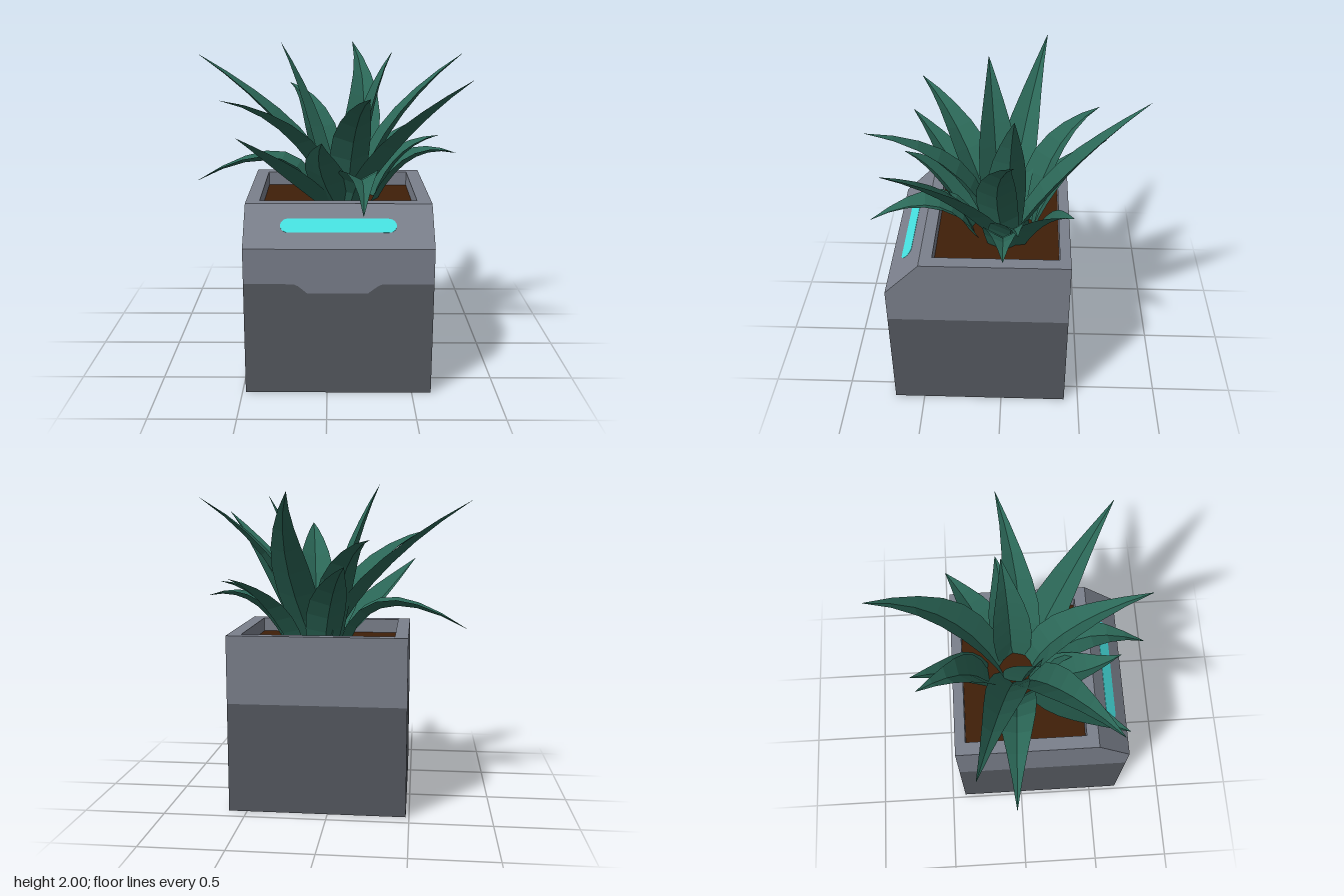
import * as THREE from 'three';

const mat = (name, color, extra = {}) => {
  const m = new THREE.MeshStandardMaterial({ color, ...extra });
  m.name = name;
  return m;
};

// Leaves: tip x, y, z, then reach and height of the bend, and optional sideways sweep
const LEAVES = [
  [0.17, 1.94, -0.83, 0.34, 1.61, -0.2],
  [0.8, 1.83, 0.61, 0.38, 1.48],
  [0.84, 1.92, -0.08, 0.14, 1.54, -0.12],
  [0.81, 1.3, -0.02, 0.36, 1.39],
  [-0.28, 2, 0.1, 0.4, 1.62],
  [-0.84, 1.9, -0.26, 0.25, 1.49],
  [-0.84, 1.11, -0.05, 0.2, 1.46],
  [0.2, 1.12, 0.82, 0.26, 1.44, 0.08],
  [0.23, 1.75, 0.79, 0.17, 1.6],
  [-0.6, 1.71, 0.55, 0.35, 1.58],
  [-0.51, 1.51, 0.61, 0.52, 1.3, -0.05],
  [-0.03, 1.48, 0.61, 0.48, 1.32, -0.12],
  [0.59, 1.44, -0.41, 0.4, 1.34],
  [0.71, 1.4, -0.1, 0.24, 1.34],
  [-0.12, 1.53, -0.63, 0.25, 1.39],
  [-0.26, 1.68, -0.58, 0.2, 1.6],
  [0.4, 1.93, -0.07, 0.17, 1.61],
];
const HEART = new THREE.Vector3(0.11, 1, 0);
const HALF_WIDTH = 0.122;
const TAPER = [0.8, 0.95, 1, 0.94, 0.75, 0.5, 0.25, 0.01];

// A tapering, channelled blade; tall leaves start near the heart, low ones around them
function leafGeometry([x, y, z, reach, height, sweep = 0]) {
  const tip = new THREE.Vector3(x, y, z);
  const out = tip.clone().sub(HEART).setY(0).normalize();
  const side = new THREE.Vector3(0, 1, 0).cross(out);
  const base = HEART.clone().addScaledVector(out, y > 1.7 ? 0.09 : 0.19);
  const bend = base.clone().lerp(tip, reach).setY(height).addScaledVector(side, sweep);
  const curve = new THREE.QuadraticBezierCurve3(base, bend, tip);
  const pos = [], index = [];
  const rows = TAPER.length - 1;
  TAPER.forEach((k, i) => {
    const p = curve.getPoint(i / rows);
    const normal = curve.getTangent(i / rows).cross(side).normalize();
    const w = HALF_WIDTH * k;
    for (let j = 0; j < 5; j++) {
      const u = j / 2 - 1;
      const q = p.clone().addScaledVector(side, u * w).addScaledVector(normal, (Math.abs(u) - 0.3) * w * 0.5);
      pos.push(q.x, q.y, q.z);
      if (i < rows && j < 4) {
        const n = i * 5 + j;
        index.push(n, n + 5, n + 1, n + 1, n + 5, n + 6);
      }
    }
  });
  const g = new THREE.BufferGeometry();
  g.setAttribute('position', new THREE.Float32BufferAttribute(pos, 3));
  g.setIndex(index);
  g.computeVertexNormals();
  return g;
}

export function createModel() {
  const group = new THREE.Group();
  const lower = mat('dark grey', 0x555960);
  const upper = mat('light grey', 0x7b808c);
  const glow = mat('cyan', 0x46e2e1);
  const earth = mat('soil brown', 0x3f1f09);
  const green = mat('leaf green', 0x2b6757, { side: THREE.DoubleSide, flatShading: true });

  const add = (name, geometry, material) => {
    const m = new THREE.Mesh(geometry, material);
    m.name = name;
    group.add(m);
  };
  const box = (name, x0, x1, y0, y1, z0, z1, material) =>
    add(name, new THREE.BoxGeometry(x1 - x0, y1 - y0, z1 - z0)
      .translate((x0 + x1) / 2, (y0 + y1) / 2, (z0 + z1) / 2), material);
  const extrude = (shape, depth) =>
    new THREE.ExtrudeGeometry(shape, { depth, bevelEnabled: false, curveSegments: 10 });
  const polygon = (points) => new THREE.Shape(points.map((p) => new THREE.Vector2(...p)));

  // Pot body
  box('potBase', -0.48, 0.613, 0, 0.68, -0.41, 0.688, lower);

  // Upper walls with the sloping front edge, profile in (z, y)
  const wall = (name, zBack, x0, x1) => {
    const profile = polygon([[zBack, 0.68], [0.688, 0.68], [0.688, 0.89], [0.478, 1.1], [zBack, 1.1]]);
    add(name, extrude(profile, x1 - x0).rotateY(-Math.PI / 2).translate(x1, 0, 0), upper);
  };
  wall('rightWall', -0.41, -0.48, -0.4);
  wall('leftWall', -0.41, 0.53, 0.613);
  wall('frontWall', 0.405, -0.4, 0.53);
  box('backWall', -0.4, 0.53, 0.68, 1.1, -0.41, -0.345, upper);

  // Front tab dipping below the colour line
  const tab = polygon([[-0.19, 0.68], [-0.165, 0.668], [-0.115, 0.626], [0.235, 0.626], [0.29, 0.668], [0.315, 0.68]]);
  add('frontTab', extrude(tab, 0.0015).translate(0, 0, 0.688), upper);

  // Light strip lying on the slope
  const r = 0.045, h = 0.335 - r;
  const strip = new THREE.Shape();
  strip.absarc(h, 0, r, -Math.PI / 2, Math.PI / 2);
  strip.absarc(-h, 0, r, Math.PI / 2, Math.PI * 1.5);
  add('lightStrip', extrude(strip, 0.002).rotateX(-Math.PI / 4).translate(0.065, 0.997, 0.581), glow);

  // Soil
  box('soil', -0.4, 0.53, 0.9, 1.01, -0.345, 0.405, earth);

  // Rosette of leaves
  LEAVES.forEach((leaf, i) => add('leaf' + (i + 1), leafGeometry(leaf), green));
  return group;
}
